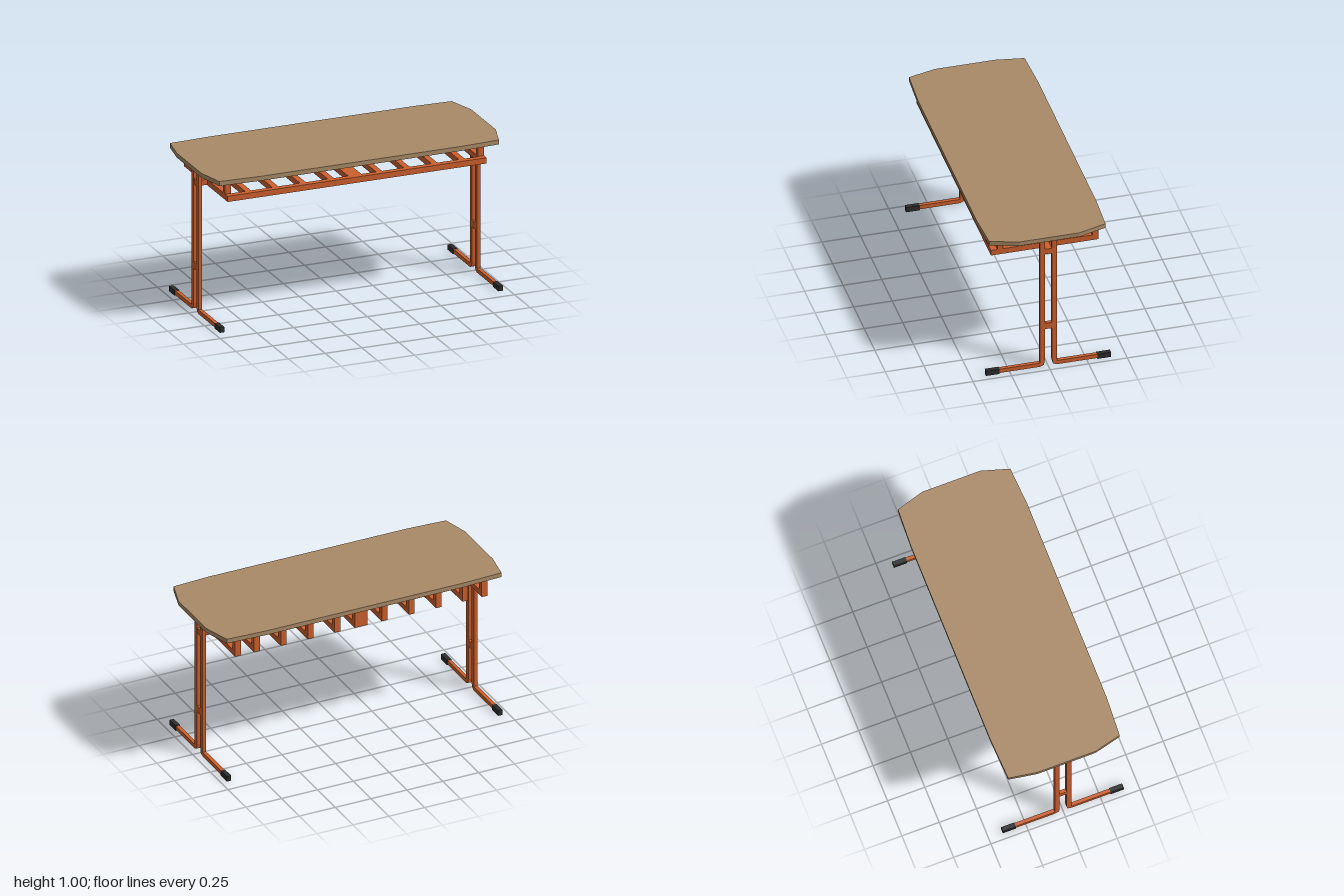
import * as THREE from 'three';

const material = (color) => new THREE.MeshStandardMaterial({ color, flatShading: true });

export function createModel() {
  const table = new THREE.Group();
  table.name = 'table';
  const wood = material(0xa98a66);
  const orange = material(0xcc602e);
  const black = material(0x2c2c2c);

  const add = (name, geometry, mat, parent = table) => {
    const mesh = new THREE.Mesh(geometry, mat);
    mesh.name = name;
    parent.add(mesh);
    return mesh;
  };
  // Box given by its limits on each axis
  const box = (name, [x0, x1], [y0, y1], [z0, z1], mat = orange, parent = table) =>
    add(name, new THREE.BoxGeometry(x1 - x0, y1 - y0, z1 - z0), mat, parent)
      .position.set((x0 + x1) / 2, (y0 + y1) / 2, (z0 + z1) / 2);

  const shapeOf = (points) => new THREE.Shape(points.map(([a, b]) => new THREE.Vector2(a, b)));

  // Table top: a board with tapered ends, outline in x and z
  const outline = [
    [-1, 0.2], [-0.955, 0.38], [-0.69, 0.395], [0.69, 0.395], [0.945, 0.38], [1, 0.2],
    [1, -0.19], [0.945, -0.373], [0.69, -0.385], [-0.69, -0.385], [-0.97, -0.373], [-1, -0.19],
  ];
  const top = new THREE.ExtrudeGeometry(shapeOf(outline.map(([x, z]) => [x, -z])),
    { depth: 0.03, bevelEnabled: false });
  top.rotateX(-Math.PI / 2).translate(0, 0.97, 0);
  add('tableTop', top, wood);

  // Leg frames: two bent tubes back to back, with rubber feet
  const tubeWidth = 0.024;
  const bentTube = [
    [0.023, 0.97], [0.023, 0.05], [0.03, 0.016], [0.055, 0.005],
    [0.33, 0.005], [0.33, 0.033], [0.055, 0.033], [0.055, 0.97],
  ];
  for (const side of [-1, 1]) {
    const frame = new THREE.Group();
    frame.name = side > 0 ? 'leftLegFrame' : 'rightLegFrame';
    frame.position.x = side * 0.946;
    table.add(frame);
    for (const end of [-1, 1]) {
      const tube = new THREE.ExtrudeGeometry(shapeOf(bentTube.map(([z, y]) => [z * end, y])),
        { depth: tubeWidth, bevelEnabled: false });
      tube.translate(0, 0, -tubeWidth / 2).rotateY(-Math.PI / 2);
      add(end > 0 ? 'frontLeg' : 'backLeg', tube, orange, frame);
      const z = end > 0 ? [0.317, 0.405] : [-0.405, -0.317];
      box(end > 0 ? 'frontFoot' : 'backFoot', [-0.015, 0.015], [0, 0.035], z, black, frame);
    }
    box('legBrace', [-0.012, 0.012], [0.283, 0.327], [-0.024, 0.024], orange, frame);
  }

  // Long beam joining the two leg frames
  box('centreBeam', [-0.955, 0.955], [0.846, 0.883], [-0.024, 0.024]);

  // Shelf rack under the top: front rail, cross slats and rear hangers
  const railY = [0.843, 0.881];
  const hangerY = [0.881, 0.97];
  box('frontRail', [-0.885, 0.875], railY, [0.31, 0.35]);
  const slats = [-0.865, -0.73, -0.545, -0.357, -0.168, -0.005, 0.16, 0.348, 0.536, 0.722, 0.855];
  slats.forEach((x, i) => {
    const half = i === 5 ? 0.045 : 0.02; // the middle slat is wider
    const span = [x - half, x + half];
    box('rackSlat', span, railY, [-0.346, 0.31]);
    box('rearHanger', span, hangerY, [-0.346, -0.307]);
    if (i === 0 || i === slats.length - 1) box('frontHanger', span, hangerY, [0.272, 0.308]);
  });

  return table;
}
